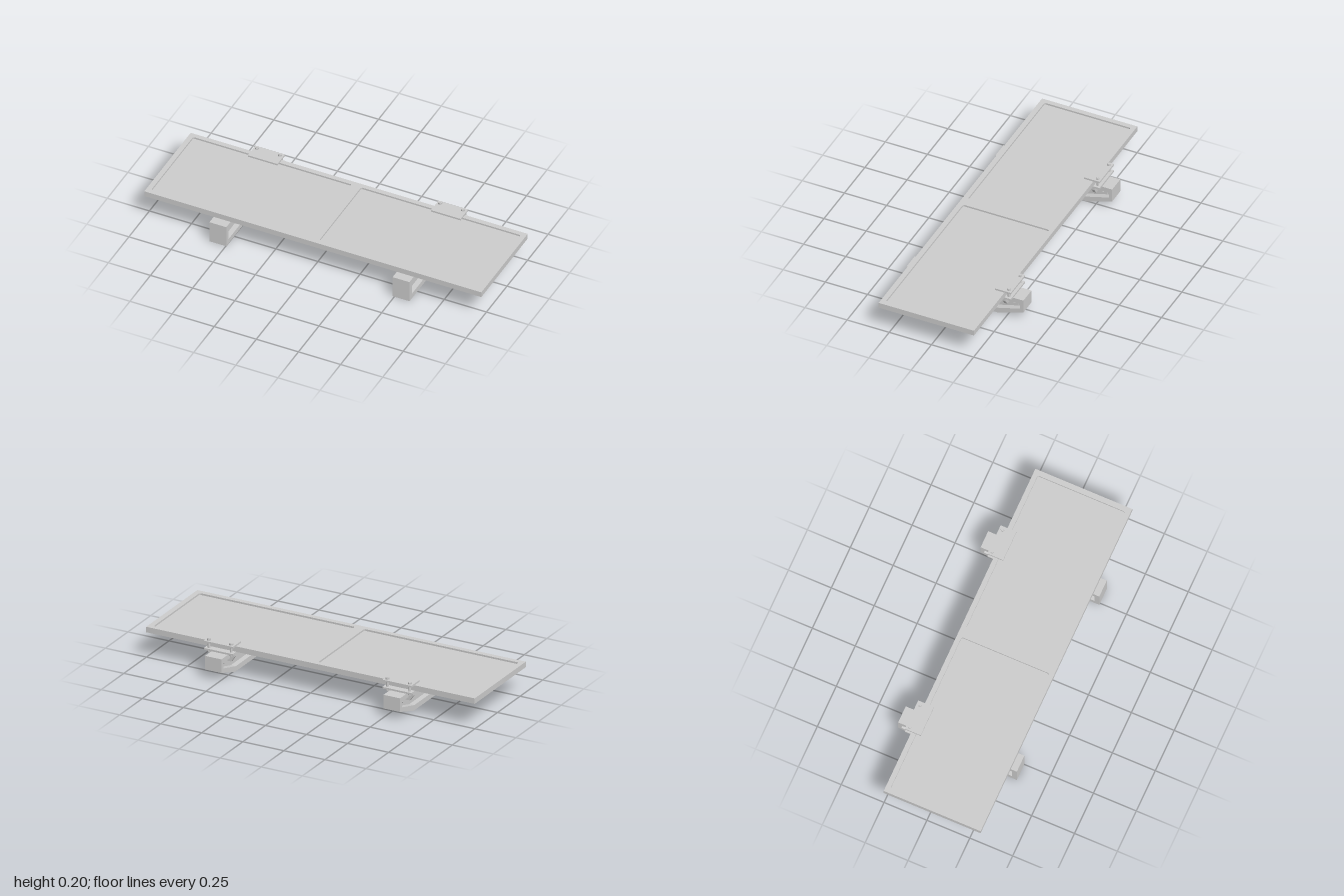
import * as THREE from 'three';

const material = new THREE.MeshStandardMaterial({ color: 0xcccccc, flatShading: true });

function add(parent, name, geometry, x = 0, y = 0, z = 0) {
  const mesh = new THREE.Mesh(geometry, material);
  mesh.name = name;
  mesh.position.set(x, y, z);
  parent.add(mesh);
  return mesh;
}

// Box given by its limits on each axis
function block(parent, name, [x0, x1], [y0, y1], [z0, z1]) {
  return add(parent, name, new THREE.BoxGeometry(x1 - x0, y1 - y0, z1 - z0),
    (x0 + x1) / 2, (y0 + y1) / 2, (z0 + z1) / 2);
}

const polygon = (points) => new THREE.Shape(points.map(([a, b]) => new THREE.Vector2(a, b)));

function roundedRect(x0, x1, y0, y1, r) {
  const s = new THREE.Shape();
  s.absarc(x1 - r, y1 - r, r, 0, Math.PI / 2);
  s.absarc(x0 + r, y1 - r, r, Math.PI / 2, Math.PI);
  s.absarc(x0 + r, y0 + r, r, Math.PI, Math.PI * 1.5);
  s.absarc(x1 - r, y0 + r, r, Math.PI * 1.5, Math.PI * 2);
  s.closePath();
  return s;
}

// Extrusion centred on its own depth
function slab(shape, depth) {
  return new THREE.ExtrudeGeometry(shape, { depth, bevelEnabled: false, curveSegments: 4 })
    .translate(0, 0, -depth / 2);
}

// Two-bay frame with a thin sheet set into each bay
function createPanel() {
  const panel = new THREE.Group();
  panel.name = 'panel';
  const outline = polygon([[-1, -0.313], [1, -0.313], [1, 0.252], [-1, 0.252]]);
  for (const [x0, x1] of [[-0.972, -0.033], [0.025, 0.97]]) {
    outline.holes.push(roundedRect(x0, x1, -0.284, 0.225, 0.01));
    block(panel, 'sheet', [x0 - 0.005, x1 + 0.005], [0.155, 0.167], [-0.23, 0.289]);
  }
  add(panel, 'panelFrame', slab(outline, 0.032).rotateX(-Math.PI / 2), 0, 0.161, 0);
  return panel;
}

// Ballast beam with a recess in each side, points are (z, y)
function createBeam() {
  const beam = new THREE.Group();
  beam.name = 'beam';
  const outline = polygon([[0.346, 0], [0.346, 0.129], [-0.346, 0.129], [-0.346, 0.05], [-0.195, 0]]);
  const recess = polygon([[0.318, 0.03], [0.318, 0.101], [-0.326, 0.101], [-0.326, 0.069], [-0.188, 0.03]]);
  outline.holes.push(recess);
  add(beam, 'beamBody', slab(outline, 0.1).rotateY(-Math.PI / 2));
  add(beam, 'beamWeb', slab(recess, 0.04).rotateY(-Math.PI / 2));
  return beam;
}

// Clamp holding the panel's rear edge to the beam
function createClamp() {
  const clamp = new THREE.Group();
  clamp.name = 'clamp';
  block(clamp, 'topPlate', [-0.088, 0.088], [0.178, 0.188], [-0.29, -0.198]);
  block(clamp, 'lowerPlate', [-0.088, 0.088], [0.136, 0.146], [-0.29, -0.232]);

  const arm = [[0.02, 0.085], [0.06, 0.085], [0.08, 0.115], [0.08, 0.137],
    [0.051, 0.137], [0.051, 0.1], [0.02, 0.1]];
  for (const side of [-1, 1]) {
    // Side plate bolted inside the recess, with an arm up to the lower plate
    const xs = [side * 0.019, side * 0.028].sort((a, b) => a - b);
    block(clamp, 'sidePlate', xs, [0.068, 0.1], [-0.306, -0.174]);
    const points = arm.map(([x, y]) => [side * x, y]);
    add(clamp, 'arm', slab(polygon(points), 0.018), 0, 0, -0.247);
    for (const z of [-0.19, -0.224, -0.283]) {
      add(clamp, 'sideBolt', new THREE.CylinderGeometry(0.007, 0.007, 0.006, 16)
        .rotateZ(Math.PI / 2), side * 0.03, 0.083, z);
      add(clamp, 'sideBoltEnd', new THREE.CylinderGeometry(0.004, 0.004, 0.008, 12)
        .rotateZ(Math.PI / 2), side * 0.032, 0.083, z);
    }
    // Upright clamping bolt with hexagonal head and nut
    const x = side * 0.068;
    add(clamp, 'clampBolt', new THREE.CylinderGeometry(0.007, 0.007, 0.076, 16), x, 0.162, -0.27);
    for (const y of [0.131, 0.193]) {
      add(clamp, 'clampNut', new THREE.CylinderGeometry(0.011, 0.011, 0.01, 6), x, y, -0.27);
    }
  }
  return clamp;
}

export function createModel() {
  const model = new THREE.Group();
  model.name = 'panelOnBeams';
  model.add(createPanel());
  for (const x of [-0.547, 0.54]) {
    const support = new THREE.Group();
    support.name = 'support';
    support.position.x = x;
    support.add(createBeam(), createClamp());
    model.add(support);
  }
  return model;
}
